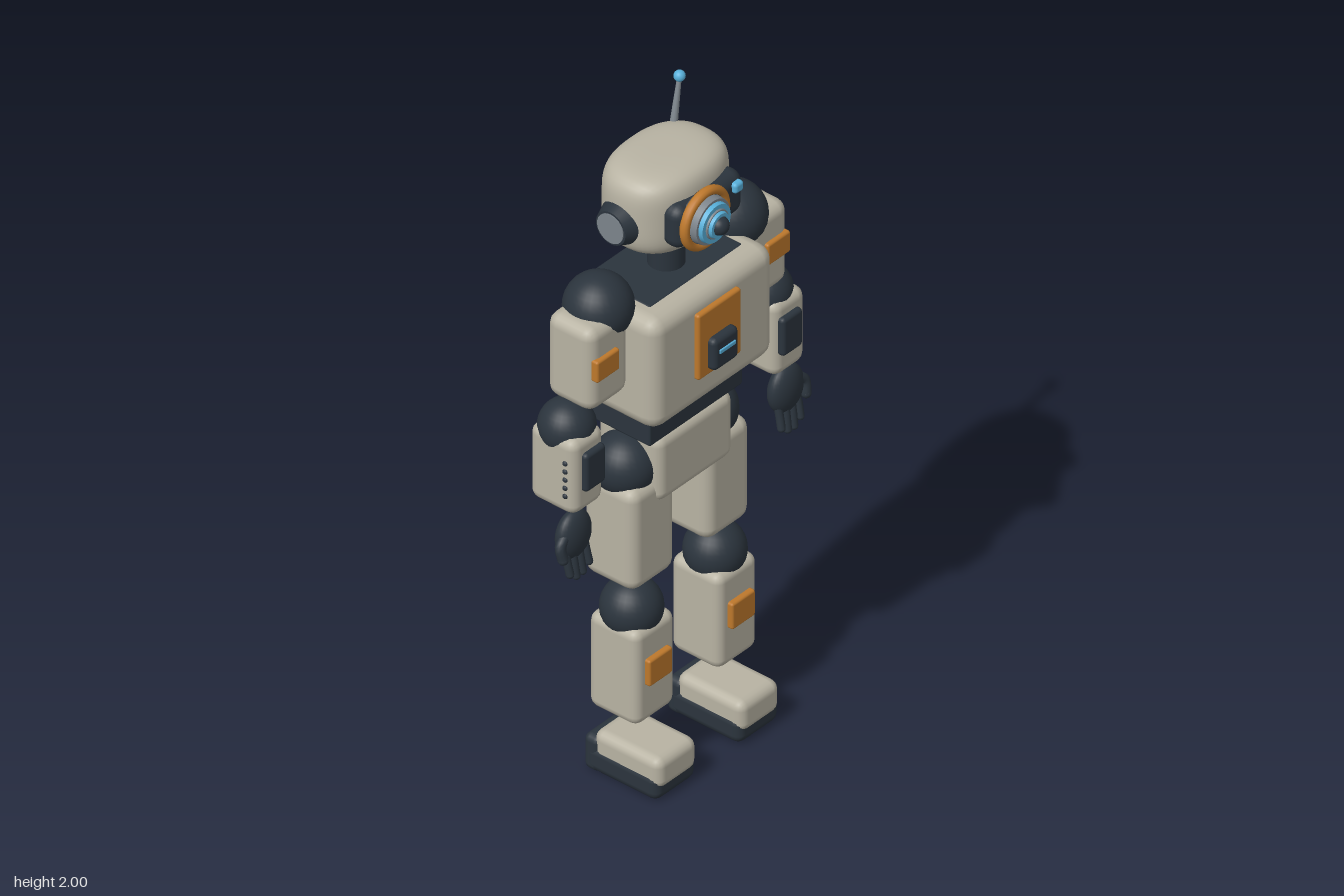
import * as THREE from 'three';
import { RoundedBoxGeometry } from 'three/addons/geometries/RoundedBoxGeometry.js';
import { mergeVertices } from 'three/addons/utils/BufferGeometryUtils.js';

const material = (name, color) => {
  const m = new THREE.MeshStandardMaterial({ color });
  m.name = name;
  return m;
};

export function createModel() {
  const shell = material('warm grey shell', 0xb8b3a3);
  const dark = material('dark joint', 0x2b343d);
  const orange = material('orange panel', 0xbd782c);
  const blue = material('blue light', 0x58b0da);
  const steel = material('steel', 0x7c848b);

  const model = new THREE.Group();
  model.name = 'robot';

  const add = (parent, name, geometry, mat, x = 0, y = 0, z = 0) => {
    const mesh = new THREE.Mesh(geometry, mat);
    mesh.name = name;
    mesh.position.set(x, y, z);
    parent.add(mesh);
    return mesh;
  };
  // Rounded block given by its limits on each axis
  const block = (parent, name, mat, [x0, x1], [y0, y1], [z0, z1], r = 0.03, seg = 2) =>
    add(parent, name, new RoundedBoxGeometry(x1 - x0, y1 - y0, z1 - z0, seg, r), mat,
      (x0 + x1) / 2, (y0 + y1) / 2, (z0 + z1) / 2);
  const ball = (parent, name, mat, r, x, y, z) =>
    add(parent, name, new THREE.SphereGeometry(r, 28, 18), mat, x, y, z);
  const part = (name) => {
    const g = new THREE.Group();
    g.name = name;
    model.add(g);
    return g;
  };

  // Torso with a dark core that forms the back panel and the waist
  const torso = part('torso');
  block(torso, 'chest', shell, [-0.242, 0.242], [1.17, 1.52], [-0.16, 0.118], 0.045);
  block(torso, 'coreAndBackPanel', dark, [-0.184, 0.184], [1.075, 1.522], [-0.168, 0.052], 0.006, 1);
  block(torso, 'chestPanel', orange, [-0.085, 0.085], [1.268, 1.475], [0.1, 0.133], 0.008);
  block(torso, 'chestModule', dark, [-0.05, 0.05], [1.285, 1.385], [0.12, 0.157], 0.016);
  block(torso, 'chestLight', blue, [-0.032, 0.032], [1.338, 1.351], [0.153, 0.161], 0.003, 1);
  block(torso, 'pelvis', shell, [-0.152, 0.152], [0.867, 1.076], [-0.16, 0.055], 0.032);
  add(torso, 'neck', new THREE.CylinderGeometry(0.05, 0.05, 0.14, 24), dark, 0, 1.58, -0.05);

  // Head: a cube grid pushed onto a rounded, boxy oval
  const head = part('head');
  let skull = new THREE.BoxGeometry(2, 2, 2, 16, 16, 16);
  skull.deleteAttribute('normal');
  skull.deleteAttribute('uv');
  skull = mergeVertices(skull);
  const pos = skull.attributes.position;
  for (let i = 0; i < pos.count; i++) {
    const x = pos.getX(i), y = pos.getY(i), z = pos.getZ(i);
    const flat = Math.pow(Math.abs(x) ** 2.4 + Math.abs(z) ** 2.4, 1 / 2.4);
    const n = Math.pow(flat ** 4.5 + Math.abs(y) ** 4.5, 1 / 4.5);
    pos.setXYZ(i, x / n * 0.18, y / n * 0.124, z / n * 0.134);
  }
  skull.computeVertexNormals();
  add(head, 'skull', skull, shell, 0, 1.754, -0.053);

  for (const s of [-1, 1]) {
    const ear = add(head, 'ear', new THREE.CylinderGeometry(0.05, 0.066, 0.04, 28), dark, s * 0.186, 1.732, -0.062);
    ear.rotation.z = -s * Math.PI / 2;
    const disc = add(head, 'earDisc', new THREE.CylinderGeometry(0.044, 0.044, 0.008, 28), steel, s * 0.205, 1.732, -0.062);
    disc.rotation.z = -s * Math.PI / 2;
  }

  // Visor with a large stepped lens and a small lamp
  block(head, 'visor', dark, [-0.13, 0.133], [1.682, 1.815], [0.03, 0.107], 0.035, 3);
  const lens = new THREE.Group();
  lens.name = 'eyeLens';
  lens.position.set(-0.034, 1.752, 0);
  head.add(lens);
  const ring = add(lens, 'eyeRim', new THREE.TorusGeometry(0.08, 0.013, 12, 40), orange, 0, 0, 0.11);
  ring.scale.z = 1.1;
  const step = (name, mat, r0, r1, z0, z1) => {
    const m = add(lens, name, new THREE.CylinderGeometry(r1, r0, z1 - z0, 36), mat, 0, 0, (z0 + z1) / 2);
    m.rotation.x = Math.PI / 2;
  };
  step('lensBase', dark, 0.078, 0.075, 0.09, 0.118);
  step('lensBarrel', steel, 0.07, 0.066, 0.11, 0.138);
  step('lensOuterGlow', blue, 0.06, 0.056, 0.13, 0.15);
  step('lensCollar', steel, 0.045, 0.042, 0.145, 0.155);
  step('lensInnerGlow', blue, 0.04, 0.036, 0.15, 0.164);
  ball(lens, 'pupil', dark, 0.027, 0, 0, 0.159);
  block(head, 'visorLamp', blue, [0.077, 0.112], [1.765, 1.797], [0.095, 0.12], 0.01);

  // Leaning antenna
  const base = new THREE.Vector3(0.112, 1.83, -0.125), tip = new THREE.Vector3(0.153, 1.985, -0.136);
  const rod = add(head, 'antennaRod', new THREE.CylinderGeometry(0.006, 0.012, base.distanceTo(tip), 12), steel);
  rod.position.copy(base).lerp(tip, 0.5);
  rod.quaternion.setFromUnitVectors(new THREE.Vector3(0, 1, 0), tip.clone().sub(base).normalize());
  ball(head, 'antennaTip', blue, 0.016, tip.x, tip.y, tip.z);

  for (const s of [-1, 1]) {
    const side = s > 0 ? 'left' : 'right';
    const span = (a, b) => (s > 0 ? [a, b] : [-b, -a]);

    // Arm
    const arm = part(side + 'Arm');
    ball(arm, 'shoulder', dark, 0.095, s * 0.265, 1.525, -0.053);
    block(arm, 'upperArm', shell, span(0.235, 0.395), [1.278, 1.54], [-0.125, 0.032], 0.035);
    block(arm, 'upperArmPanel', orange, span(0.293, 0.383), [1.383, 1.45], [0.02, 0.045], 0.007);
    ball(arm, 'elbow', dark, 0.078, s * 0.39, 1.213, -0.053);
    block(arm, 'forearm', shell, span(0.335, 0.462), [0.988, 1.225], [-0.125, 0.032], 0.03);
    block(arm, 'forearmPanel', dark, span(0.35, 0.43), [1.06, 1.18], [0.02, 0.048], 0.012);
    for (let i = 0; i < 5; i++) {
      add(arm, 'forearmStud', new THREE.SphereGeometry(0.008, 10, 8), dark, s * 0.46, 1.05 + i * 0.026, 0.002);
    }

    // Hand with four fingers and a thumb on the outside
    const hand = part(side + 'Hand');
    ball(hand, 'palm', dark, 1, s * 0.42, 0.905, -0.006).scale.set(0.062, 0.074, 0.034);
    const finger = (name, points, r) => {
      const curve = new THREE.CatmullRomCurve3(points.map(([x, y, z]) => new THREE.Vector3(s * x, y, z)));
      add(hand, name, new THREE.TubeGeometry(curve, 8, r, 10), dark);
      for (const end of [0, 1]) {
        const p = curve.getPoint(end);
        add(hand, name + 'End', new THREE.SphereGeometry(r, 10, 8), dark, p.x, p.y, p.z);
      }
    };
    [0.805, 0.788, 0.786, 0.803].forEach((y, i) => {
      const x = 0.383 + i * 0.025;
      finger('finger', [[x, 0.89, -0.005], [x, 0.84, 0.006], [x - 0.002, y, 0.014]], 0.0115);
    });
    finger('thumb', [[0.455, 0.925, 0], [0.483, 0.9, 0.005], [0.481, 0.862, 0.012]], 0.015);

    // Leg
    const leg = part(side + 'Leg');
    ball(leg, 'hip', dark, 0.09, s * 0.158, 0.965, -0.055);
    block(leg, 'thigh', shell, span(0.06, 0.236), [0.62, 0.94], [-0.138, 0.04], 0.035);
    ball(leg, 'knee', dark, 0.085, s * 0.165, 0.525, -0.026);
    block(leg, 'shin', shell, span(0.083, 0.243), [0.208, 0.508], [-0.112, 0.057], 0.028);
    block(leg, 'shinPanel', orange, span(0.118, 0.21), [0.333, 0.415], [0.045, 0.074], 0.007);

    // Foot: grey cap over a dark sole with a raised heel
    const foot = part(side + 'Foot');
    block(foot, 'footCap', shell, span(0.085, 0.243), [0.04, 0.138], [-0.095, 0.133], 0.028);
    block(foot, 'sole', dark, span(0.082, 0.246), [0.005, 0.088], [-0.122, 0.127], 0.026);
    block(foot, 'heel', dark, span(0.083, 0.245), [0.005, 0.116], [-0.125, -0.07], 0.02);
  }
  return model;
}
